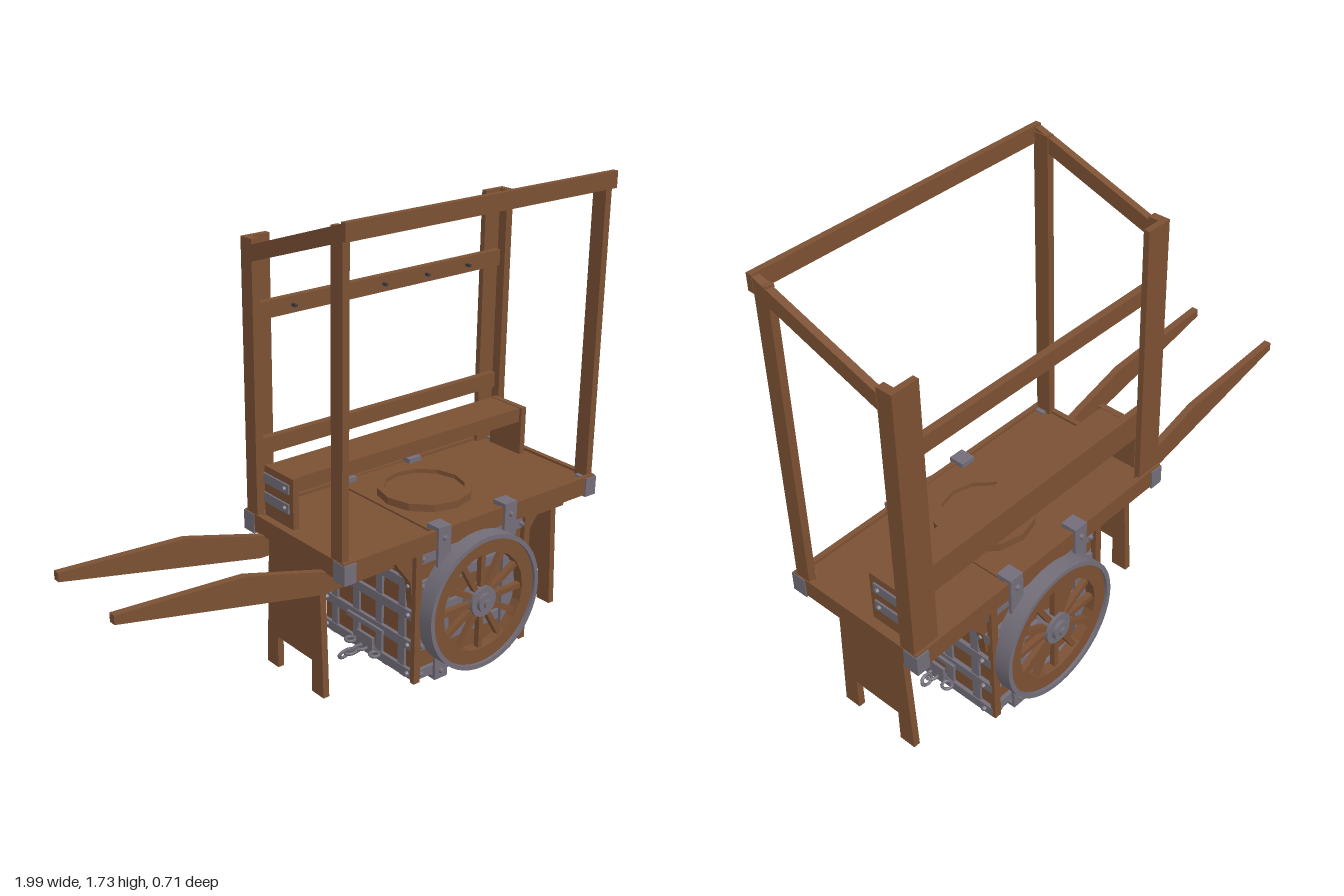
import * as THREE from 'three';

export function createModel() {
  const root = new THREE.Group();
  root.name = 'marketCart';
  const wood = new THREE.MeshStandardMaterial({ color: 0x7b5033, name: 'wood' });
  const metal = new THREE.MeshStandardMaterial({ color: 0x726d78, name: 'iron' });
  const dark = new THREE.MeshStandardMaterial({ color: 0x3c3a40, name: 'darkIron' });

  const add = (name, geo, mat, parent = root) => {
    const m = new THREE.Mesh(geo, mat);
    m.name = name;
    parent.add(m);
    return m;
  };
  // Box given by its extents on each axis
  const box = (name, mat, x0, x1, y0, y1, z0, z1, parent = root) => {
    const m = add(name, new THREE.BoxGeometry(x1 - x0, y1 - y0, z1 - z0), mat, parent);
    m.position.set((x0 + x1) / 2, (y0 + y1) / 2, (z0 + z1) / 2);
    return m;
  };
  const shape = pts => new THREE.Shape(pts.map(p => new THREE.Vector2(p[0], p[1])));
  const plate = (name, mat, pts, depth, parent = root) =>
    add(name, new THREE.ExtrudeGeometry(shape(pts), { depth, bevelEnabled: false }), mat, parent);
  const bolt = (x, y, z, axis) => {
    const b = add('bolt', new THREE.CylinderGeometry(0.007, 0.011, 0.012, 8), metal);
    b.position.set(x, y, z);
    if (axis === 'z') b.rotation.x = Math.sign(z) * Math.PI / 2;
    if (axis === 'x') b.rotation.z = -Math.sign(x - 0.39) * Math.PI / 2;
    if (axis === 'down') b.rotation.x = Math.PI;
  };
  const cx = 0.395;

  // Deck with its raised edging and lid board
  box('deck', wood, -0.195, 0.985, 0.54, 0.593, -0.265, 0.265);
  for (const s of [-1, 1]) {
    box('deckLongEdge', wood, -0.2, 0.99, 0.535, 0.605, s * 0.27 - 0.01, s * 0.27 + 0.01);
    box('deckShortEdge', wood, cx + s * 0.585 - 0.01, cx + s * 0.585 + 0.01, 0.535, 0.602, -0.26, 0.26);
  }
  box('lidBoard', wood, 0.2, 0.575, 0.59, 0.6, -0.26, 0.26);

  // Round hatch ring made of straight staves
  const hatch = new THREE.Group();
  hatch.name = 'hatch';
  hatch.position.set(cx, 0.6, 0);
  root.add(hatch);
  const hatchRing = shape(Array.from({ length: 12 }, (_, i) =>
    [0.175 * Math.cos(i * Math.PI / 6), 0.175 * Math.sin(i * Math.PI / 6)]));
  hatchRing.holes.push(new THREE.Path(Array.from({ length: 12 }, (_, i) =>
    new THREE.Vector2(0.148 * Math.cos(i * Math.PI / 6), 0.148 * Math.sin(i * Math.PI / 6)))));
  add('hatchRing', new THREE.ExtrudeGeometry(hatchRing, { depth: 0.028, bevelEnabled: false }), wood, hatch)
    .rotation.x = -Math.PI / 2;
  const cover = add('hatchCover', new THREE.CylinderGeometry(0.15, 0.15, 0.012, 12), wood, hatch);
  cover.position.y = 0.006;

  // Corner caps
  for (const sx of [-1, 1]) for (const sz of [-1, 1]) {
    const x = cx + sx * 0.572, z = sz * 0.255;
    box('cornerCap', metal, x - 0.026, x + 0.026, 0.527, 0.6, z - 0.03, z + 0.03);
  }

  // Long shafts that run under the deck
  const shaft = [[-1, 0.62], [-0.22, 0.46], [0.935, 0.46], [0.935, 0.54], [-0.2, 0.54], [-0.52, 0.627], [-1, 0.652]];
  for (const z of [-0.19, 0.157]) plate('shaft', wood, shaft, 0.027).position.z = z;

  // End legs: notched boards
  const leg = [[-0.165, 0.04], [-0.1, 0.04], [-0.1, 0.165], [0.1, 0.165], [0.1, 0.04], [0.165, 0.04], [0.143, 0.54], [-0.143, 0.54]];
  for (const x of [-0.198, 0.908]) {
    const l = plate('legBoard', wood, leg, 0.025);
    l.rotation.y = Math.PI / 2;
    l.position.x = x;
  }

  // Canopy frame
  for (const s of [-1, 1]) {
    const ox = cx + s * 0.578;
    box('frontPost', wood, ox - 0.014, ox + 0.014, 0.54, 1.72, 0.207, 0.266);
    box('backPostSide', wood, ox - 0.015, ox + 0.015, 0.54, 1.59, -0.27, -0.21);
    const px = cx + s * 0.528;
    box('backPostFace', wood, px - 0.036, px + 0.036, 0.54, 1.59, -0.27, -0.248);
    const rail = plate('slopedRail', wood,
      [[-0.268, 1.678], [-0.207, 1.658], [0.212, 1.515], [0.212, 1.572], [-0.268, 1.735]], 0.026);
    rail.rotation.y = Math.PI / 2;
    rail.position.x = ox - 0.013 + s * 0.004;
  }
  box('topBar', wood, -0.2, 0.992, 1.68, 1.74, 0.262, 0.284);

  // Back rails with hanging pegs
  for (const y of [0.817, 1.305]) box('backRail', wood, -0.16, 0.945, y, y + 0.06, -0.248, -0.222);
  for (let i = 0; i < 5; i++) {
    const x = -0.025 + i * 0.2;
    box('peg', dark, x - 0.005, x + 0.005, 1.33, 1.34, -0.222, -0.202);
  }

  // Raised shelf on end panels
  box('shelf', wood, -0.14, 0.925, 0.725, 0.78, -0.215, -0.06);
  for (const s of [-1, 1]) {
    const x = cx + s * 0.543;
    box('shelfEnd', wood, x - 0.012, x + 0.012, 0.593, 0.782, -0.215, -0.05);
    for (const y of [0.665, 0.738]) {
      const xo = x + s * 0.015;
      box('shelfStrap', metal, xo - 0.004, xo + 0.004, y - 0.018, y + 0.018, -0.215, -0.07);
      bolt(xo + s * 0.007, y, -0.09, 'x');
    }
  }

  // Cargo crate under the deck
  box('crate', wood, 0.14, 0.65, 0.035, 0.54, -0.25, 0.25);
  for (const y of [0.05, 0.165, 0.285, 0.4, 0.505]) {
    const h = 0.018;
    for (const s of [-1, 1]) {
      const x = cx + s * 0.261;
      box('crateBandEnd', metal, x - 0.008, x + 0.008, y - h, y + h, -0.264, 0.264);
      box('crateBandSide', metal, 0.126, 0.664, y - h, y + h, s * 0.257 - 0.008, s * 0.257 + 0.008);
      for (const z of [-0.23, 0.23]) bolt(x + s * 0.013, y, z, 'x');
      for (const bx of [0.16, 0.63]) bolt(bx, y, s * 0.27, 'z');
    }
  }
  for (const s of [-1, 1]) {
    const x = cx + s * 0.259;
    for (const z of [-0.19, -0.065, 0.065, 0.19])
      box('crateUpright', metal, x - 0.006, x + 0.006, 0.035, 0.53, z - 0.017, z + 0.017);
    for (const z of [-0.268, 0.268])
      box('crateCornerPost', wood, x - 0.02, x + 0.008, 0.03, 0.535, z - 0.01, z + 0.01);
  }
  // Straps wrapped round the crate and over the deck edge
  for (const x of [0.235, 0.55]) {
    const x0 = x - 0.029, x1 = x + 0.029;
    box('bottomStrap', metal, x0, x1, 0.02, 0.034, -0.286, 0.286);
    for (const s of [-1, 1]) {
      box('sideStrap', metal, x0, x1, 0.02, 0.618, s * 0.283 - 0.006, s * 0.283 + 0.006);
      box('topStrap', metal, x0, x1, 0.6, 0.618, s * 0.258 - 0.03, s * 0.258 + 0.03);
      for (const y of [0.05, 0.575]) bolt(x, y, s * 0.294, 'z');
      bolt(x, 0.015, s * 0.22, 'down');
    }
  }
  for (const z of [-0.2, -0.1, 0, 0.1, 0.2])
    box('bottomSlat', metal, 0.13, 0.66, 0.026, 0.038, z - 0.014, z + 0.014);

  // Gusset brackets between crate and deck
  for (const s of [-1, 1]) for (const z of [-0.245, 0.215]) {
    const g = [[0.25, 0.54], [0.35, 0.54], [0.335, 0.5], [0.275, 0.42], [0.265, 0.33], [0.25, 0.33]];
    const pts = g.map(p => [cx + s * p[0], p[1]]);
    plate('gusset', wood, pts, 0.03).position.z = z;
  }

  // Wheels
  const makeWheel = () => {
    const w = new THREE.Group();
    const ring = (name, ro, ri, seg, z, d, mat) => {
      const sh = new THREE.Shape().absarc(0, 0, ro, 0, Math.PI * 2);
      sh.holes.push(new THREE.Path().absarc(0, 0, ri, 0, Math.PI * 2, true));
      add(name, new THREE.ExtrudeGeometry(sh, { depth: d, bevelEnabled: false, curveSegments: seg }), mat, w).position.z = z;
    };
    const tyre = [[0.243, 0], [0.26, 0], [0.26, 0.07], [0.243, 0.07], [0.243, 0]];
    for (let i = 0; i < 4; i++) {
      const pts = [tyre[i], tyre[i + 1]].map(p => new THREE.Vector2(p[0], p[1]));
      add('tyre', new THREE.LatheGeometry(pts, 48), metal, w).rotation.x = Math.PI / 2;
    }
    ring('felloe', 0.246, 0.19, 10, 0.018, 0.04, wood);
    for (let i = 0; i < 12; i++) {
      const spoke = add('spoke', new THREE.BoxGeometry(0.02, 0.16, 0.022), wood, w);
      const a = i * Math.PI / 6;
      spoke.position.set(-Math.sin(a) * 0.12, Math.cos(a) * 0.12, 0.038);
      spoke.rotation.z = a;
    }
    for (const [r, d, z] of [[0.058, 0.05, 0.035], [0.036, 0.07, 0.04], [0.016, 0.085, 0.042]]) {
      const hub = add('hub', new THREE.CylinderGeometry(r, r, d, 20), metal, w);
      hub.rotation.x = Math.PI / 2;
      hub.position.z = z;
    }
    return w;
  };
  metal.side = THREE.DoubleSide;
  for (const s of [-1, 1]) {
    const w = makeWheel();
    w.name = s > 0 ? 'frontWheel' : 'backWheel';
    w.position.set(cx, 0.29, s * 0.27);
    if (s < 0) w.rotation.y = Math.PI;
    root.add(w);
  }
  const axle = add('axle', new THREE.CylinderGeometry(0.03, 0.03, 0.6, 16), metal);
  axle.rotation.x = Math.PI / 2;
  axle.position.set(cx, 0.29, 0);

  // Towing plates and chain links low on the crate ends
  for (const s of [-1, 1]) {
    const x = cx + s * 0.272;
    box('towPlate', metal, x - 0.006, x + 0.006, 0.04, 0.11, -0.045, 0.045);
    box('towBar', metal, x - 0.008, x + 0.008, 0.148, 0.166, -0.1, 0.1);
    for (let i = 0; i < (s < 0 ? 4 : 2); i++) {
      const link = add('chainLink', new THREE.TorusGeometry(0.018, 0.006, 6, 12), metal);
      link.scale.x = 1.25;
      link.position.set(x + s * (0.015 + i * 0.028), 0.06, 0);
      link.rotation.x = i % 2 ? 0.35 : Math.PI / 2;
    }
    for (const z of [-0.07, 0.07]) {
      const link = add('sideLink', new THREE.TorusGeometry(0.018, 0.006, 6, 12), metal);
      link.position.set(x + s * 0.015, 0.06, z);
      link.rotation.x = Math.PI / 2;
    }
  }
  return root;
}
